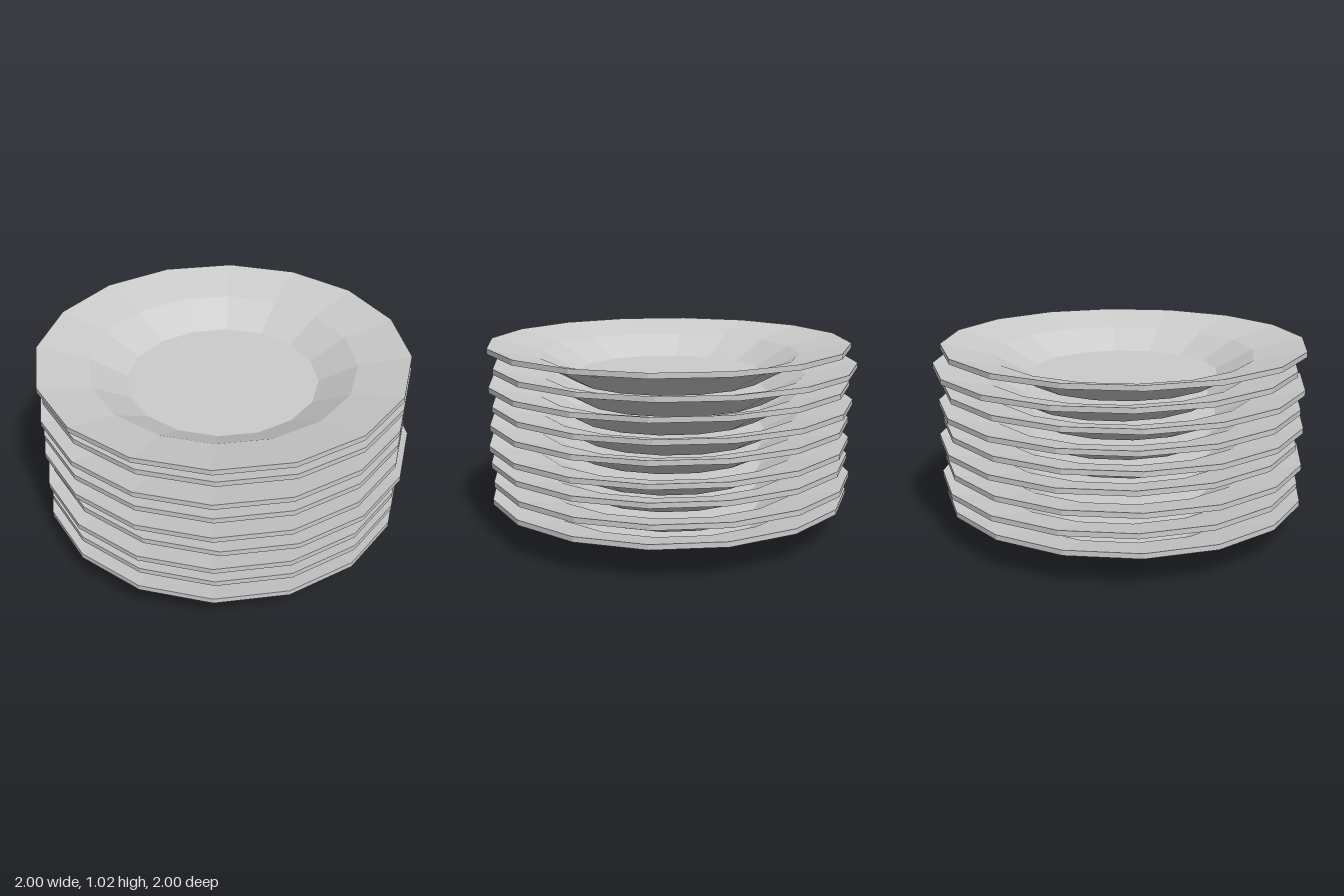
import * as THREE from 'three';

export function createModel() {
  const group = new THREE.Group();
  group.name = 'plateStack';
  const material = new THREE.MeshStandardMaterial({ color: 0xcccccc, flatShading: true });

  // Closed plate section: underside out to the rim, then back over the top
  const profile = [
    [0, 0], [0.51, 0], [0.71, 0.11], [0.92, 0.175], [0.985, 0.175],
    [0.985, 0.203], [0.71, 0.14], [0.51, 0.035], [0, 0.035],
  ].map(([r, y]) => new THREE.Vector2(r, y));
  const plateGeometry = new THREE.LatheGeometry(profile, 16);
  plateGeometry.rotateY(-0.066);

  // Small sideways shift (x, z) of each plate, bottom to top
  const shifts = [
    [-0.02, 0.018], [-0.005, 0.005], [-0.02, 0.018],
    [0.017, 0.018], [-0.02, 0.018], [-0.008, 0],
    [-0.02, 0.018], [0.01, -0.015], [-0.02, 0.018],
  ];
  const spacing = 0.102;
  shifts.forEach(([x, z], i) => {
    const plate = new THREE.Mesh(plateGeometry, material);
    plate.name = `plate${i + 1}`;
    plate.position.set(x, i * spacing, z);
    group.add(plate);
  });

  return group;
}
